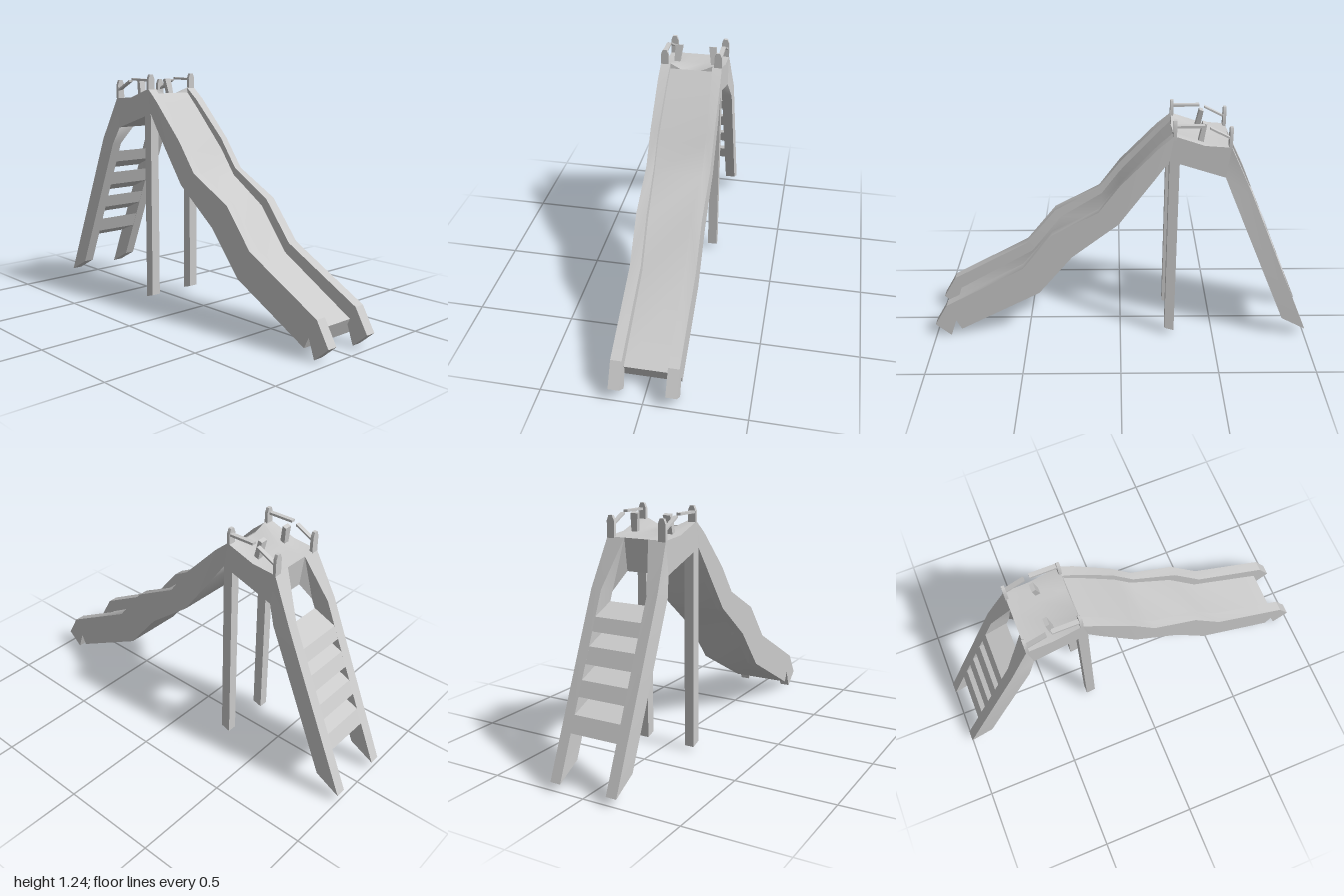
import * as THREE from 'three';
import { toCreasedNormals } from 'three/addons/utils/BufferGeometryUtils.js';

const material = new THREE.MeshStandardMaterial({ color: 0xcccccc });

// Closed solid through a row of cross-sections (equal-length loops of [x, y, z]).
function loft(sections) {
  const n = sections[0].length, tris = [];
  for (let s = 0; s < sections.length - 1; s++) {
    const a = sections[s], b = sections[s + 1];
    for (let i = 0; i < n; i++) {
      const j = (i + 1) % n;
      tris.push([a[i], b[i], b[j]], [a[i], b[j], a[j]]);
    }
  }
  const first = sections[0], last = sections[sections.length - 1];
  for (let i = 1; i < n - 1; i++) {
    tris.push([first[0], first[i], first[i + 1]], [last[0], last[i + 1], last[i]]);
  }
  // Turn the faces outwards whichever way the loops run
  let volume = 0;
  const v = tris.map((t) => t.map((p) => new THREE.Vector3(...p)));
  for (const [a, b, c] of v) volume += a.dot(b.clone().cross(c));
  const pos = v.flatMap(([a, b, c]) => (volume < 0 ? [a, c, b] : [a, b, c]))
    .flatMap((p) => p.toArray());
  const geo = new THREE.BufferGeometry();
  geo.setAttribute('position', new THREE.Float32BufferAttribute(pos, 3));
  geo.computeVertexNormals();
  return toCreasedNormals(geo, 0.6);
}

// Four-cornered section spanning z0..z1 between an upper and a lower side point
const quad = (top, bottom, z0, z1) => [
  [...top, z0], [...top, z1], [...bottom, z1], [...bottom, z0],
];

// Straight piece: a side outline in x/y given a z range
const slab = (outline, z0, z1) => [z0, z1].map((z) => outline.map((p) => [...p, z]));

const mix = (a, b, t) => [a[0] + (b[0] - a[0]) * t, a[1] + (b[1] - a[1]) * t];

export function createModel() {
  const model = new THREE.Group();
  const add = (name, sections) => {
    const mesh = new THREE.Mesh(loft(sections), material);
    mesh.name = name;
    model.add(mesh);
  };
  const addPair = (name, sections) => {
    add(name + 'Left', sections);
    add(name + 'Right', sections.map((s) => s.map(([x, y, z]) => [x, y, -z])));
  };

  // Slide stations: rail top, underside, bed depth fraction, inner z, outer z
  const stations = [
    [[-0.26, 1.16], [-0.24, 1.03], 0.2, 0.11, 0.16],
    [[-0.19, 1.10], [-0.17, 0.93], 0.25, 0.115, 0.163],
    [[0, 0.90], [0.01, 0.68], 0.25, 0.125, 0.165],
    [[0.11, 0.75], [0.07, 0.633], 0.3, 0.125, 0.165],
    [[0.35, 0.62], [0.25, 0.49], 0.3, 0.112, 0.165],
    [[0.51, 0.42], [0.43, 0.27], 0.33, 0.11, 0.165],
    [[0.93, 0.19], [0.86, 0.04], 0.43, 0.11, 0.165],
  ];
  addPair('slideRail', stations.map(([t, b, , zi, zo]) => quad(t, b, zi, zo)));
  add('slideBed', stations.map(([t, b, f, zi]) => quad(mix(t, b, f), b, -zi, zi)));

  // Rail ends: notched feet at the foot of the slide
  const notch = [0.885, 0.10];
  addPair('slideFoot', slab([notch, [0.92, 0], [1, 0.07], [0.93, 0.19], [0.86, 0.04]], 0.11, 0.165));

  // Platform with a dip where it meets the slide
  add('platform', [
    [[-0.54, 1.10], [-0.52, 0.94], 0],
    [[-0.41, 1.11], [-0.38, 0.985], 0],
    [[-0.26, 1.16], [-0.24, 1.03], 0.028],
  ].map(([t, b, dip]) => [
    [...b, -0.16], [...t, -0.16], [...t, -0.11],
    [t[0], t[1] - dip, -0.05], [t[0], t[1] - dip, 0.05],
    [...t, 0.11], [...t, 0.16], [...b, 0.16],
  ]));

  // Ladder sides, flaring inward to the platform at the top
  addPair('ladderSide', [
    quad([-1, 0.04], [-0.87, 0.11], 0.125, 0.18),
    quad([-0.65, 0.87], [-0.56, 0.845], 0.125, 0.18),
    quad([-0.54, 1.10], [-0.52, 0.94], 0.065, 0.16),
  ]);

  // Ladder steps: deep slanted slabs between the sides
  const onLadder = (x) => [x, 0.04 + (x + 1) * 2.37];
  const inward = ([x, y]) => [x + 0.12, y + 0.05];
  [[-0.91, -0.877], [-0.845, -0.815], [-0.786, -0.754], [-0.727, -0.70]].forEach(([x0, x1], i) => {
    const low = onLadder(x0), high = onLadder(x1);
    add('ladderStep' + (i + 1), slab([low, high, inward(high), inward(low)], -0.126, 0.126));
  });

  // Support legs
  addPair('supportLeg', slab([[-0.29, 0.02], [-0.24, 0.035], [-0.24, 1.06], [-0.29, 1.04]], 0.11, 0.16));

  // Corner posts with pointed tops
  const post = (x, y0, y1) => [x - 0.008, x + 0.008].map((px) => [
    [-0.02, y0], [0.02, y0], [0.02, y1 - 0.025], [0.01, y1], [-0.01, y1], [-0.02, y1 - 0.025],
  ].map(([z, y]) => [px, y, z + 0.14]));
  addPair('backPost', post(-0.535, 1.08, 1.2));
  addPair('frontPost', post(-0.264, 1.13, 1.235));

  // Leaning middle posts
  addPair('leaningPost', [
    [[-0.405, 1.10, 0.085], [-0.38, 1.11, 0.085], [-0.38, 1.11, 0.115], [-0.405, 1.10, 0.115]],
    [[-0.42, 1.20, 0.07], [-0.4, 1.207, 0.07], [-0.4, 1.207, 0.11], [-0.42, 1.20, 0.11]],
  ]);

  // Handrail bars
  const bar = (a, b, h) => [a, b].map((p) => quad([p[0], p[1] + h], [p[0], p[1] - h], 0.135, 0.158));
  addPair('backHandrail', bar([-0.535, 1.145], [-0.43, 1.198], 0.005));
  addPair('frontHandrail', bar([-0.405, 1.207], [-0.264, 1.205], 0.006));

  return model;
}
